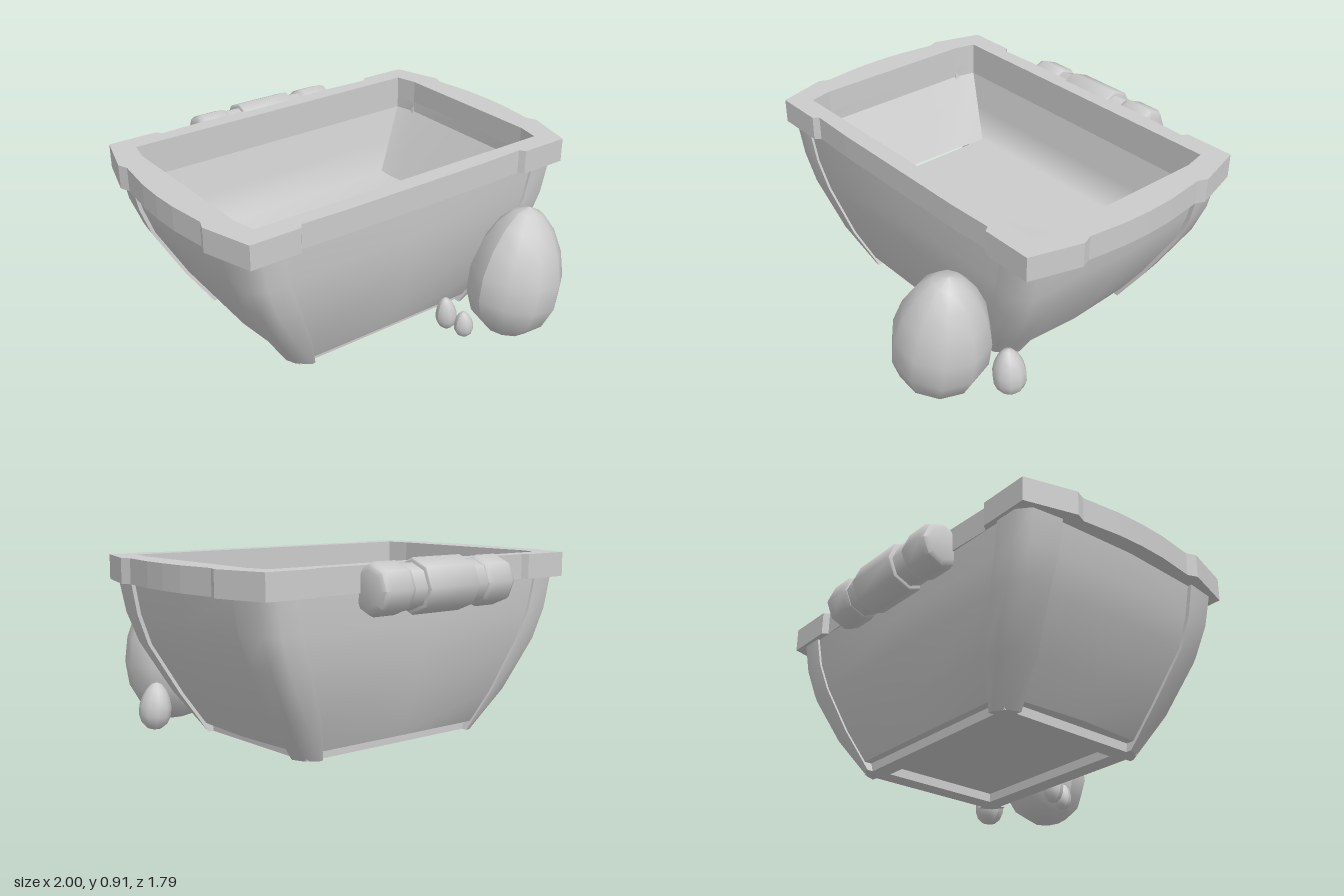
import * as THREE from 'three';
import { toCreasedNormals } from 'three/addons/utils/BufferGeometryUtils.js';

const grey = new THREE.MeshStandardMaterial({ color: 0xcccccc });
const greyDouble = new THREE.MeshStandardMaterial({ color: 0xcccccc, side: THREE.DoubleSide });

function mesh(parent, name, geometry, material = grey) {
  const m = new THREE.Mesh(geometry, material);
  m.name = name;
  parent.add(m);
  return m;
}

// Skin over rows of points; optionally closed around and capped at both ends
function skin(rows, closed = false, cap = false) {
  const n = rows[0].length, index = [];
  for (let i = 0; i < rows.length - 1; i++) {
    for (let j = 0; j < (closed ? n : n - 1); j++) {
      const a = i * n + j, b = i * n + (j + 1) % n, c = a + n, d = b + n;
      index.push(a, c, b, b, c, d);
    }
  }
  if (cap) {
    const top = (rows.length - 1) * n;
    for (let j = 1; j < n - 1; j++) index.push(0, j, j + 1, top, top + j + 1, top + j);
  }
  const g = new THREE.BufferGeometry();
  g.setAttribute('position', new THREE.Float32BufferAttribute(rows.flat(2), 3));
  g.setIndex(index);
  g.computeVertexNormals();
  return g;
}

// Mirror a quarter outline, from (x, 0) to (0, z), into a full ring
function fullRing(q) {
  const r = [...q].reverse();
  return [
    ...q,
    ...r.slice(1).map(([x, z]) => [-x, z]),
    ...q.slice(1).map(([x, z]) => [-x, -z]),
    ...r.slice(1, -1).map(([x, z]) => [x, -z]),
  ];
}

const atHeight = (ring, y) => ring.map(([x, z]) => [x, y, z]);
const vectors = (ring) => ring.map(([x, z]) => new THREE.Vector2(x, z));

// Plate with an opening, lying flat with its top at the given height
function frame(outer, inner, depth, top) {
  const shape = new THREE.Shape(vectors(outer));
  shape.holes.push(new THREE.Path(vectors(inner)));
  return new THREE.ExtrudeGeometry(shape, { depth, bevelEnabled: false })
    .rotateX(Math.PI / 2).translate(0, top, 0);
}

// Egg with a narrower top, leaning sideways
function egg(parent, name, [x, y, z], radius, halfHeight, lean) {
  const g = new THREE.SphereGeometry(1, 10, 8);
  const p = g.attributes.position;
  for (let i = 0; i < p.count; i++) {
    const v = p.getY(i), r = radius * (1 - 0.2 * v);
    p.setXYZ(i, p.getX(i) * r, v * halfHeight, p.getZ(i) * r);
  }
  g.computeVertexNormals();
  const m = mesh(parent, name, g);
  m.position.set(x, y, z);
  m.rotation.z = lean;
}

// Height, half length, half depth, leg edge on the front, leg edge on the end
const levels = [
  [0.015, 0.56, 0.44, 0.46, 0.34],
  [0.22, 0.70, 0.53, 0.54, 0.37],
  [0.47, 0.84, 0.595, 0.645, 0.42],
  [0.62, 0.895, 0.615, 0.70, 0.42],
  [0.78, 0.925, 0.625, 0.73, 0.42],
];

export function createModel() {
  const model = new THREE.Group();
  const tub = new THREE.Group();
  tub.name = 'tub';
  tub.position.z = -0.1;
  model.add(tub);

  // Curved outer panels
  const shellLevels = [[0.06, 0.59, 0.46, 0.475, 0.345], ...levels.slice(1)];
  const shell = shellLevels.map(([y, hx, hz, fx, lz]) => atHeight(fullRing([
    [hx, 0], [hx - 0.02, lz], [hx - 0.05, hz - 0.05], [fx, hz - 0.012], [0, hz - 0.01],
  ]), y));
  const shellGeo = skin(shell, true, true);
  // Drop the top cap so that the basin stays open
  const capFree = (shell.length - 1) * shell[0].length * 6;
  shellGeo.setIndex([...shellGeo.index.array].filter((_, k) =>
    k < capFree || (k - capFree) % 6 < 3));
  mesh(tub, 'outerShell', toCreasedNormals(shellGeo, 0.6));

  // Corner legs
  for (const sx of [1, -1]) for (const sz of [1, -1]) {
    const rows = levels.map(([y, hx, hz, fx, lz]) => {
      const [first, ...rest] = [
        [hx - 0.07, hz - 0.07], [hx - 0.07, lz], [hx, lz], [hx - 0.02, hz - 0.05],
        [hx - 0.08, hz], [fx, hz], [fx, hz - 0.07],
      ].map(([x, z]) => [x * sx, y, z * sz]);
      return [first, ...(sx * sz < 0 ? rest.reverse() : rest)];
    });
    mesh(tub, 'cornerLeg', toCreasedNormals(skin(rows, true, true), 0.8));
  }

  // Base frame around the recessed underside
  mesh(tub, 'baseFrame', frame(
    fullRing([[0.53, 0], [0.53, 0.41], [0, 0.41]]),
    fullRing([[0.44, 0], [0.44, 0.32], [0, 0.32]]), 0.05, 0.065));

  // Rim with raised corners
  const opening = fullRing([[0.85, 0], [0.85, 0.42], [0.825, 0.535], [0, 0.535]]);
  mesh(tub, 'rim', frame(fullRing([
    [1, 0], [0.995, 0.14], [0.97, 0.34], [0.99, 0.39], [0.915, 0.643],
    [0.66, 0.643], [0.64, 0.615], [0.41, 0.623], [0, 0.623],
  ]), opening, 0.12, 0.895));

  // Basin: upright lip, trough and two sloping ends
  const lip = skin([atHeight(opening, 0.78), atHeight(opening, 0.72)], true);
  mesh(tub, 'basinLip', toCreasedNormals(lip, 0.4), greyDouble);
  const side = [0, 0.5, 1].map((t) => [0.825 - 0.18 * t, 0.72 - 0.33 * t, 0.535 - 0.085 * t]);
  const section = [
    ...side.map(([x, y, z]) => [x, y, -z]),
    ...[...side].reverse(),
  ];
  mesh(tub, 'basinTrough',
    skin(section.map(([x, y, z]) => [[-x, y, z], [x, y, z]])), greyDouble);
  const low = [[0.645, 0.45], [0.655, 0.3], [0.665, 0], [0.655, -0.3], [0.645, -0.45]];
  const high = [[0.825, 0.535], [0.85, 0.42], [0.85, 0], [0.85, -0.42], [0.825, -0.535]];
  for (const s of [1, -1]) {
    const row = (pts, y) => pts.map(([x, z]) => [x * s, y, z * s]);
    mesh(tub, 'basinEnd', skin([row(low, 0.39), row(high, 0.72)]), greyDouble);
  }

  // Eight-sided hinge roll along the back
  const hinge = new THREE.Group();
  hinge.name = 'hinge';
  hinge.position.set(-0.005, 0.793, -0.768);
  model.add(hinge);
  const barrel = (name, x, length, r, bevel) => {
    const h = length / 2;
    const profile = [[0, -h], [r - bevel, -h], [r - bevel * 0.3, -h + bevel * 0.3], [r, -h + bevel],
      [r, h - bevel], [r - bevel * 0.3, h - bevel * 0.3], [r - bevel, h], [0, h]];
    const g = new THREE.LatheGeometry(vectors(profile), 8).rotateZ(-Math.PI / 2);
    mesh(hinge, name, toCreasedNormals(g, 0.9)).position.x = x;
  };
  barrel('hingeCore', 0, 0.5, 0.105, 0.01);
  barrel('hingeMiddle', 0, 0.305, 0.127, 0.01);
  for (const s of [1, -1]) barrel('hingeEnd', s * 0.313, 0.19, 0.119, 0.035);

  // Eggs beside the tub
  egg(model, 'largeEgg', [0.52, 0.34, 0.675], 0.23, 0.338, -0.16);
  egg(model, 'mediumEgg', [0.73, 0.132, 0.46], 0.08, 0.12, 0.1);
  egg(model, 'smallEgg', [0.235, 0.11, 0.49], 0.053, 0.09, 0.12);
  egg(model, 'tinyEgg', [0.268, 0.08, 0.585], 0.048, 0.07, 0.1);

  return model;
}
